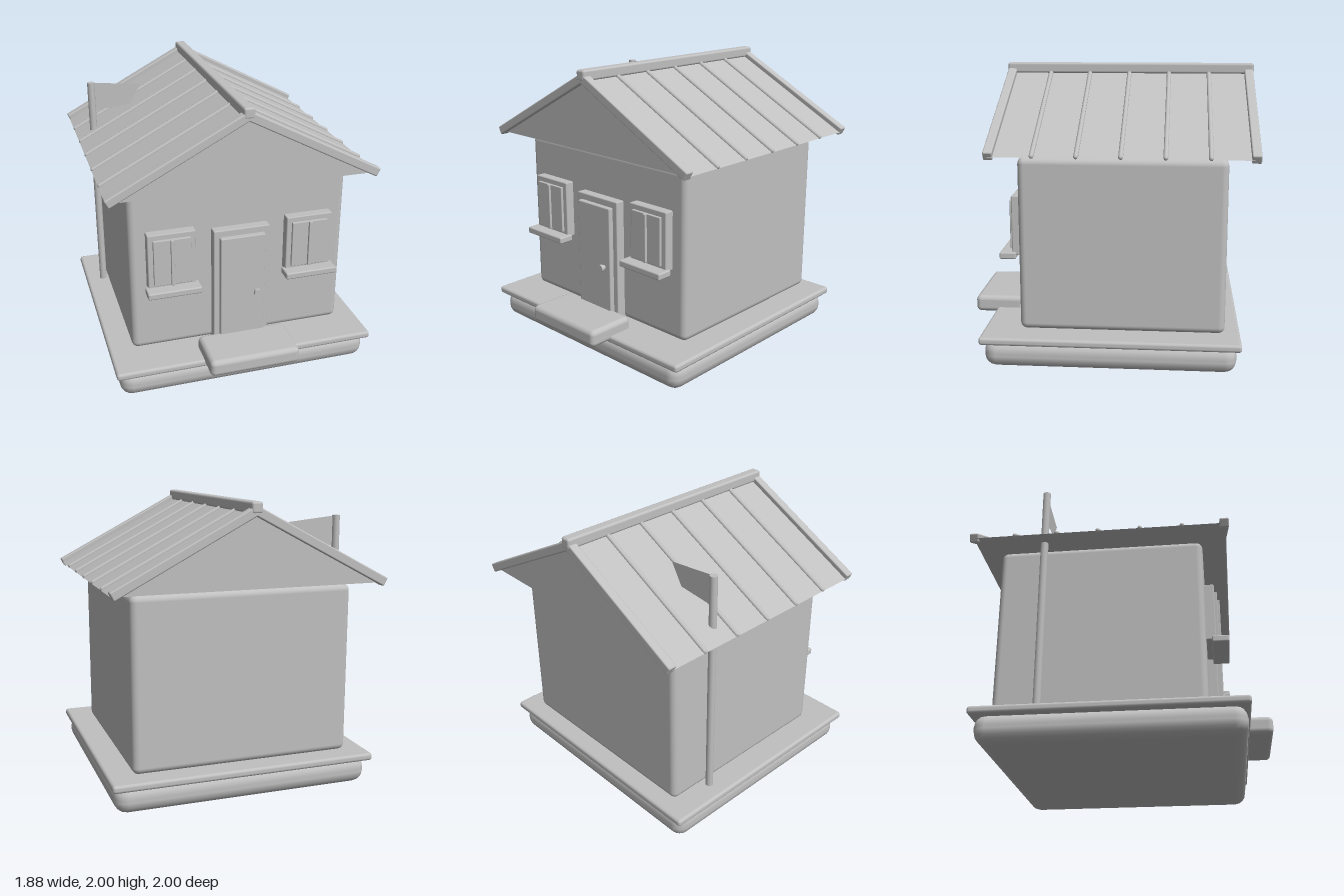
import * as THREE from 'three';
import { RoundedBoxGeometry } from 'three/addons/geometries/RoundedBoxGeometry.js';

export function createModel() {
  const house = new THREE.Group();
  house.name = 'house';
  const grey = new THREE.MeshStandardMaterial({ color: 0xc0c0c0, side: THREE.DoubleSide });
  grey.name = 'plain grey';

  const add = (name, geometry, x = 0, y = 0, z = 0) => {
    const mesh = new THREE.Mesh(geometry, grey);
    mesh.name = name;
    mesh.position.set(x, y, z);
    house.add(mesh);
    return mesh;
  };

  // Box with softened edges, given by its limits on each axis
  const block = (name, [x0, x1], [y0, y1], [z0, z1], radius, segments = 3) =>
    add(name, new RoundedBoxGeometry(x1 - x0, y1 - y0, z1 - z0, segments, radius),
      (x0 + x1) / 2, (y0 + y1) / 2, (z0 + z1) / 2);

  // Foundation, floor plate, walls and front step
  block('foundation', [-0.905, 0.905], [0, 0.19], [-0.885, 0.82], 0.085, 2);
  block('floorPlate', [-0.935, 0.93], [0.172, 0.225], [-0.912, 0.842], 0.02, 2);
  block('walls', [-0.773, 0.77], [0.235, 1.422], [-0.805, 0.585], 0.045);
  block('frontStep', [-0.32, 0.32], [0.187, 0.308], [0.645, 1.0], 0.035);

  // Door in stacked layers, with a round knob
  block('doorFrame', [-0.2, 0.2], [0.225, 1.11], [0.56, 0.65], 0.008, 1);
  block('door', [-0.16, 0.16], [0.225, 1.063], [0.6, 0.685], 0.008, 1);
  const stem = add('knobStem', new THREE.CylinderGeometry(0.018, 0.018, 0.03, 16), 0.1, 0.625, 0.695);
  const knob = add('doorKnob', new THREE.CylinderGeometry(0.026, 0.026, 0.022, 20), 0.1, 0.625, 0.714);
  stem.rotation.x = knob.rotation.x = Math.PI / 2;

  // Two windows, each with frame, pane, mullion and sill
  for (const cx of [-0.491, 0.491]) {
    block('windowFrame', [cx - 0.167, cx + 0.167], [0.73, 1.142], [0.565, 0.65], 0.008, 1);
    block('windowPane', [cx - 0.13, cx + 0.13], [0.765, 1.104], [0.6, 0.668], 0.005, 1);
    block('windowMullion', [cx - 0.013, cx + 0.013], [0.765, 1.104], [0.62, 0.685], 0.004, 1);
    block('windowSill', [cx - 0.187, cx + 0.187], [0.703, 0.75], [0.622, 0.735], 0.01, 2);
  }

  // Solid gabled roof
  const eaveX = 0.928, eaveY = 1.45, apexY = 1.94;
  const gable = new THREE.Shape([
    new THREE.Vector2(-eaveX, eaveY),
    new THREE.Vector2(eaveX, eaveY),
    new THREE.Vector2(0, apexY),
  ]);
  add('roof', new THREE.ExtrudeGeometry(gable, { depth: 1.705, bevelEnabled: false }), 0, 0, -0.965);
  block('ridgeCap', [-0.038, 0.038], [1.925, 2.0], [-1, 0.772], 0.016, 2);

  // Edge trims and ribs running down both slopes
  const slope = Math.atan2(apexY - eaveY, eaveX);
  const slopeLength = Math.hypot(eaveX, apexY - eaveY);
  const midY = (eaveY + apexY) / 2 + 0.003;
  for (const side of [-1, 1]) {
    for (const z of [-0.964, 0.738]) {
      const trim = add('roofTrim', new RoundedBoxGeometry(slopeLength, 0.062, 0.062, 2, 0.01),
        side * eaveX / 2, midY, z);
      trim.rotation.z = -side * slope;
    }
    for (let i = 0; i < 5; i++) {
      const rib = add('roofRib', new THREE.CapsuleGeometry(0.016, slopeLength - 0.025, 4, 10),
        side * eaveX / 2, midY, 0.457 - i * 0.2845);
      rib.rotation.z = Math.PI / 2 - side * slope;
    }
  }

  // Flagpole and pennant
  add('flagpole', new THREE.CylinderGeometry(0.027, 0.027, 1.645, 12), -0.803, 1.0425, -0.498);
  const flag = new THREE.Shape([
    new THREE.Vector2(-0.79, 1.65),
    new THREE.Vector2(-0.52, 1.68),
    new THREE.Vector2(-0.435, 1.825),
    new THREE.Vector2(-0.79, 1.862),
  ]);
  add('flag', new THREE.ShapeGeometry(flag), 0, 0, -0.498);

  return house;
}
